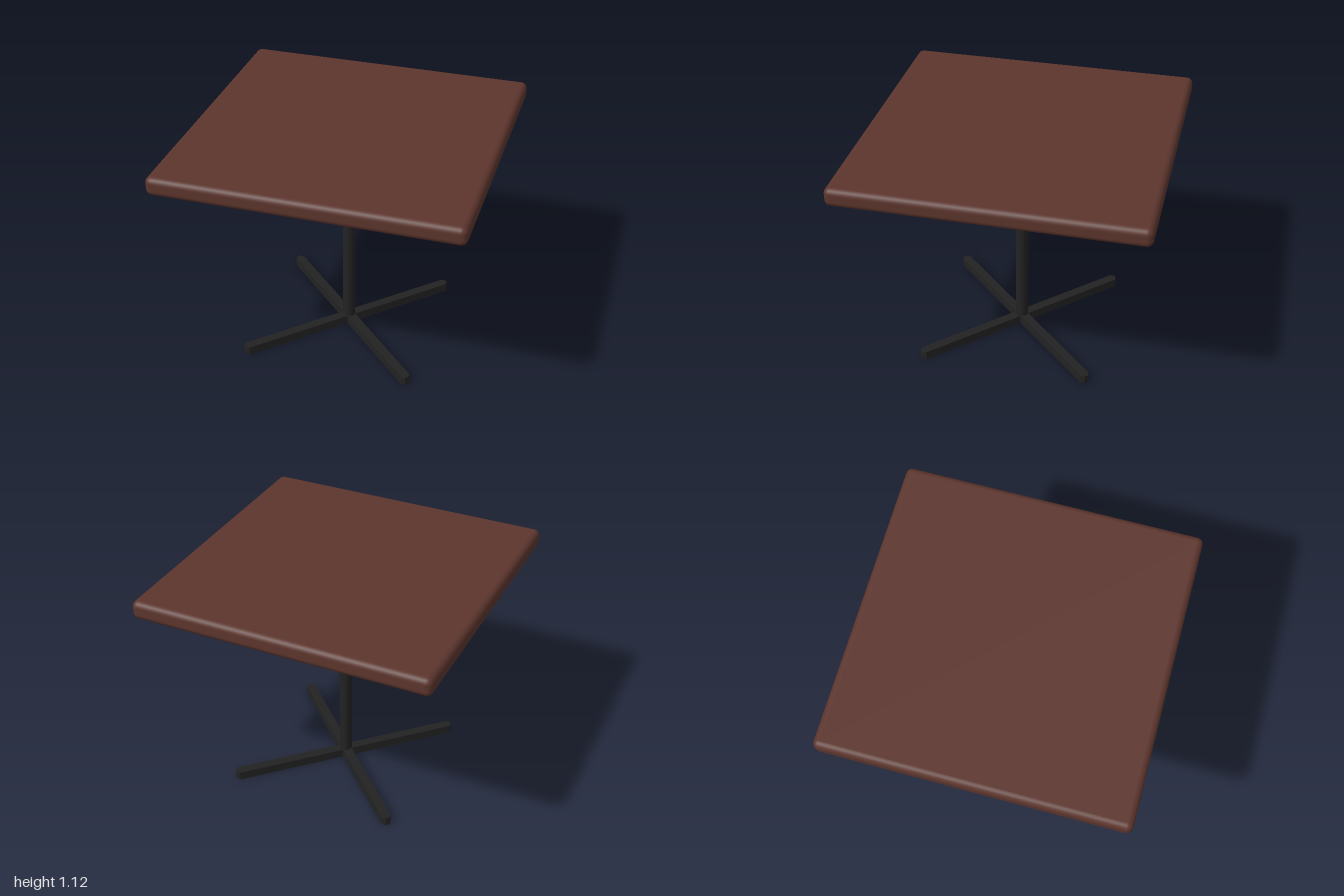
import * as THREE from 'three';
import { RoundedBoxGeometry } from 'three/addons/geometries/RoundedBoxGeometry.js';

const wood = new THREE.MeshStandardMaterial({ color: 0x5c352d });
wood.name = 'brown wood';
const metal = new THREE.MeshStandardMaterial({ color: 0x222222 });
metal.name = 'black metal';

function addPart(group, name, geometry, material) {
  const mesh = new THREE.Mesh(geometry, material);
  mesh.name = name;
  group.add(mesh);
  return mesh;
}

// Straight foot bar along x, its upright corners chamfered
function footBar(half, width, height, c) {
  const w = width / 2;
  const shape = new THREE.Shape([
    [-half + c, -w], [half - c, -w], [half, -w + c], [half, w - c],
    [half - c, w], [-half + c, w], [-half, w - c], [-half, -w + c],
  ].map(([x, y]) => new THREE.Vector2(x, y)));
  const geometry = new THREE.ExtrudeGeometry(shape, { depth: height, bevelEnabled: false });
  return geometry.rotateX(-Math.PI / 2);
}

export function createModel() {
  const table = new THREE.Group();
  table.name = 'pedestalTable';

  // Square top with soft edges, turned so a corner faces the front
  const top = addPart(table, 'tableTop', new RoundedBoxGeometry(1.432, 0.09, 1.432, 4, 0.03), wood);
  top.position.y = 1.08;
  top.rotation.y = Math.PI / 4;

  // Central post
  const post = addPart(table, 'post', new THREE.CylinderGeometry(0.031, 0.031, 1.03, 24), metal);
  post.position.y = 0.525;

  // Crossed feet
  for (let i = 0; i < 2; i++) {
    const bar = addPart(table, i ? 'footBarDeep' : 'footBarWide', footBar(0.585, 0.046, 0.044, 0.014), metal);
    bar.rotation.y = i * Math.PI / 2;
  }
  return table;
}
